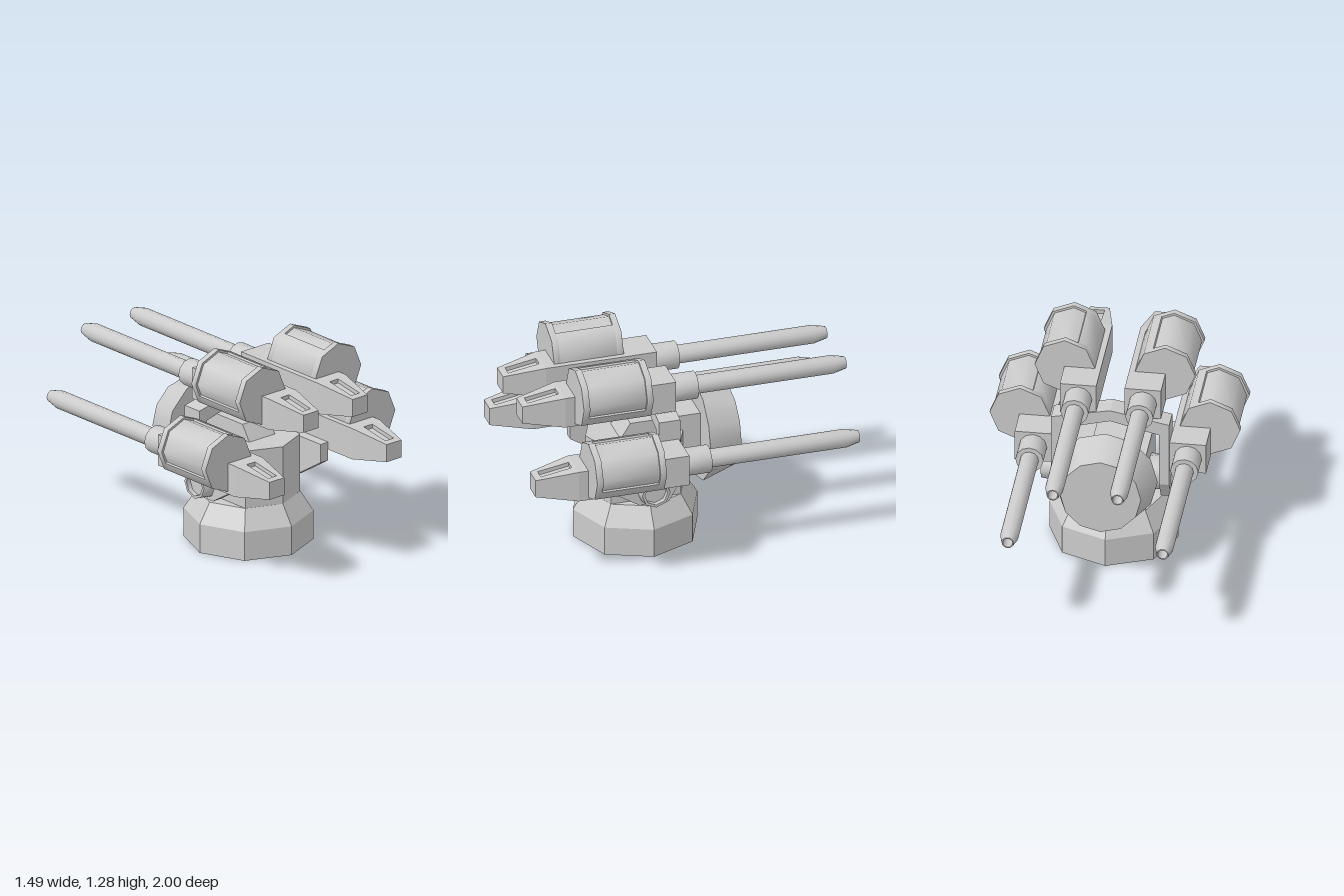
import * as THREE from 'three';
import { toCreasedNormals } from 'three/addons/utils/BufferGeometryUtils.js';

const flat = new THREE.MeshStandardMaterial({ color: 0xcccccc, flatShading: true });
const smooth = new THREE.MeshStandardMaterial({ color: 0xcccccc });

function add(parent, name, geometry, material = flat) {
  const mesh = new THREE.Mesh(geometry, material);
  mesh.name = name;
  parent.add(mesh);
  return mesh;
}

const vecs = (pts) => pts.map(([x, y]) => new THREE.Vector2(x, y));

function extrude(pts, depth) {
  return new THREE.ExtrudeGeometry(new THREE.Shape(vecs(pts)), { depth, bevelEnabled: false });
}

// Prism standing between two heights, outline given as [x, z]
function prism(pts, y0, y1) {
  return extrude(pts.map(([x, z]) => [x, -z]), y1 - y0).rotateX(-Math.PI / 2).translate(0, y0, 0);
}

// Plate between two x positions, outline given as [z, y]
function sidePlate(pts, x0, x1) {
  return extrude(pts, x1 - x0).rotateY(-Math.PI / 2).translate(x1, 0, 0);
}

// Stack of four-cornered rings, closed at both ends
function loft(rings) {
  const pos = [];
  const quad = (a, b, c, d) => pos.push(...a, ...b, ...c, ...a, ...c, ...d);
  for (let r = 0; r < rings.length - 1; r++) {
    for (let i = 0; i < 4; i++) {
      const j = (i + 1) % 4;
      quad(rings[r][i], rings[r][j], rings[r + 1][j], rings[r + 1][i]);
    }
  }
  quad(...[...rings[0]].reverse());
  quad(...rings[rings.length - 1]);
  const g = new THREE.BufferGeometry();
  g.setAttribute('position', new THREE.Float32BufferAttribute(pos, 3));
  g.computeVertexNormals();
  return g;
}

// Tapered receiver nose with a slot sunk into its sloping top
function noseGeometry() {
  const ring = (zb, zf, wb, wf, yb, yf) =>
    [[-wf, yf, zf], [wf, yf, zf], [wb, yb, zb], [-wb, yb, zb]];
  const slope = (z) => 0.097 - 0.042 * (z - 0.75) / 0.25;
  const yb = slope(0.77), yf = slope(0.96);
  return loft([
    ring(0.75, 1, 0.108, 0.058, -0.097, -0.055),
    ring(0.75, 1, 0.108, 0.058, 0.097, 0.055),
    ring(0.77, 0.96, 0.033, 0.033, yb, yf),
    ring(0.77, 0.96, 0.033, 0.033, yb - 0.025, yf - 0.025),
  ]);
}

// Eight-sided drum outline; the outer upper arc may be sunk in
const DRUM_R = 0.179;
function drumOutline(side, sunk) {
  const at = (deg, r) => {
    const off = (((deg % 45) + 45) % 45) - 22.5;
    const k = r * Math.cos(Math.PI / 8) / Math.cos(off * Math.PI / 180);
    const a = deg * Math.PI / 180;
    return [side * k * Math.cos(a), k * Math.sin(a)];
  };
  const pts = [];
  for (let d = 0; d < 360; d += 45) {
    const inside = sunk && (d <= 90 || d === 360);
    pts.push(at(d, inside ? DRUM_R - 0.014 : DRUM_R));
    if (sunk && d === 90) pts.push(at(117, DRUM_R - 0.014), at(117, DRUM_R));
  }
  if (sunk) pts.push(at(333, DRUM_R), at(333, DRUM_R - 0.014));
  return pts;
}

function makeGun(side) {
  const gun = new THREE.Group();
  gun.name = 'gun';
  add(gun, 'receiver', new THREE.BoxGeometry(0.216, 0.194, 0.68).translate(0, 0, 0.41));
  add(gun, 'receiverNose', noseGeometry());

  // Sleeve, barrel and hollow muzzle in one turned profile
  const barrel = new THREE.LatheGeometry(vecs([
    [0.083, -0.07], [0.083, 0.08], [0.055, 0.08], [0.055, 0.92],
    [0.036, 1], [0.029, 1], [0.029, 0.88], [0, 0.88],
  ]), 12).rotateX(-Math.PI / 2);
  add(gun, 'barrel', toCreasedNormals(barrel, 0.7), smooth);

  // Ammunition drum: two end flanges and a body with a sunken cover
  const drum = new THREE.Group();
  drum.name = 'ammoDrum';
  drum.position.set(side * 0.105, 0.096, 0);
  for (const [name, z0, z1, sunk] of [
    ['rearFlange', 0.262, 0.3, false], ['drumBody', 0.3, 0.65, true], ['frontFlange', 0.65, 0.69, false],
  ]) {
    const g = extrude(drumOutline(side, sunk), z1 - z0).translate(0, 0, z0);
    add(drum, name, toCreasedNormals(g, 0.85), smooth);
  }
  gun.add(drum);
  return gun;
}

export function createModel() {
  const model = new THREE.Group();
  model.name = 'gunTurret';
  const cz = 0.23;

  // Eight-sided foot
  add(model, 'foot', new THREE.CylinderGeometry(0.382, 0.382, 0.18, 8).translate(0, 0.09, cz));
  add(model, 'footTaper', new THREE.CylinderGeometry(0.305, 0.382, 0.12, 8).translate(0, 0.24, cz));

  // Column with flattened sides, its back cut away higher up
  const front = [[-0.215, 0.445], [0, 0.535], [0.215, 0.445]];
  add(model, 'columnBase', prism([...front, [0.215, 0.015], [0, -0.075], [-0.215, 0.015]], 0.3, 0.4));
  add(model, 'column', prism(
    [...front, [0.215, 0.015], [0.107, -0.03], [-0.107, -0.03], [-0.215, 0.015]], 0.4, 0.66));

  // Arm carrying the round dish behind the column
  add(model, 'dishArm', sidePlate(
    [[-0.15, 0.42], [0.1, 0.42], [0.35, 0.64], [0.35, 0.66], [0.29, 0.755], [-0.15, 0.755]], -0.1, 0.1));
  const dish = new THREE.CylinderGeometry(0.31, 0.24, 0.21, 12).rotateX(Math.PI / 2);
  add(model, 'dish', dish, smooth).position.set(0, 0.6, -0.245);

  // Gabled yoke over the column
  add(model, 'yoke', extrude([
    [-0.35, 0.46], [-0.29, 0.46], [-0.29, 0.8], [0, 0.873], [0.29, 0.8], [0.29, 0.46],
    [0.35, 0.46], [0.35, 0.873], [0, 0.945], [-0.35, 0.873],
  ], 0.13).translate(0, 0, 0.06));

  for (const side of [1, -1]) {
    const inner = side > 0 ? 0.29 : -0.35;
    add(model, 'yokeCheek', sidePlate([
      [0.06, 0.46], [0.13, 0.34], [0.31, 0.34], [0.54, 0.485], [0.54, 0.6], [0.06, 0.6],
    ], inner, inner + 0.06));

    // Pivot with a recessed end
    const pivot = new THREE.LatheGeometry(vecs([
      [0.112, 0.2], [0.105, 0.29], [0.098, 0.35], [0.087, 0.425], [0.07, 0.425], [0.07, 0.395], [0, 0.395],
    ]), 8).rotateZ(-side * Math.PI / 2);
    add(model, 'pivot', toCreasedNormals(pivot, 0.85), smooth).position.set(0, 0.44, cz);

    // Upper and lower gun on each side
    for (const [x, y] of [[0.192, 1.004], [0.459, 0.65]]) {
      const gun = makeGun(side);
      gun.position.set(side * x, y, 0);
      model.add(gun);
    }
  }
  return model;
}
